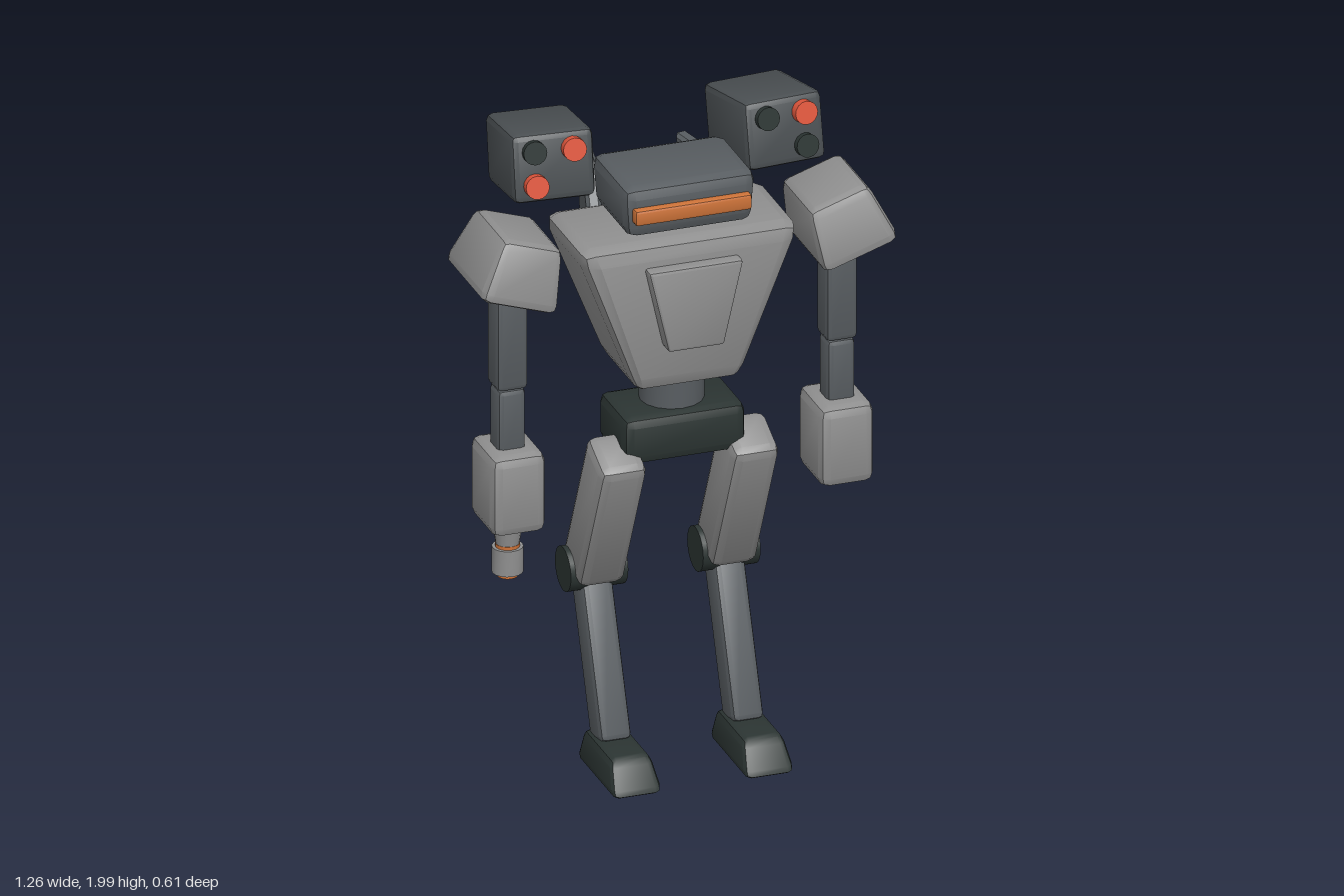
import * as THREE from 'three';
import { RoundedBoxGeometry } from 'three/addons/geometries/RoundedBoxGeometry.js';
import { toCreasedNormals } from 'three/addons/utils/BufferGeometryUtils.js';

const paint = (name, color) => {
  const m = new THREE.MeshStandardMaterial({ color });
  m.name = name;
  return m;
};

export function createModel() {
  const armour = paint('armour grey', 0x8f8f8f);
  const slate = paint('slate', 0x585d61);
  const gunmetal = paint('gunmetal', 0x4b5053);
  const dark = paint('dark joint', 0x2b3432);
  const orange = paint('visor orange', 0xcc7238);
  const red = paint('warhead red', 0xe0563c);

  const model = new THREE.Group();
  model.name = 'robot';

  const add = (parent, name, geometry, material, x, y, z, rx = 0, ry = 0, rz = 0) => {
    const mesh = new THREE.Mesh(toCreasedNormals(geometry, 0.5), material);
    mesh.name = name;
    mesh.position.set(x, y, z);
    mesh.rotation.set(rx, ry, rz, 'YXZ');
    parent.add(mesh);
    return mesh;
  };

  // Bevelled box whose width and depth change linearly from bottom to top
  const block = (w, h, d, bevel, top = [1, 1], bottom = [1, 1], topShift = 0) => {
    const g = new RoundedBoxGeometry(w, h, d, 1, bevel);
    const p = g.attributes.position;
    for (let i = 0; i < p.count; i++) {
      const t = p.getY(i) / h + 0.5;
      p.setX(i, p.getX(i) * THREE.MathUtils.lerp(bottom[0], top[0], t));
      p.setZ(i, p.getZ(i) * THREE.MathUtils.lerp(bottom[1], top[1], t) + topShift * t);
    }
    return g;
  };
  const cylinder = (rTop, rBottom, h, sides = 16) => new THREE.CylinderGeometry(rTop, rBottom, h, sides);

  // Body
  add(model, 'torso', block(0.69, 0.48, 0.36, 0.05, [1, 1], [0.45, 0.86]), armour, 0, 1.45, 0.02);
  add(model, 'chestPlate', block(0.29, 0.26, 0.07, 0.01, [1, 1], [0.58, 1]), armour, 0, 1.49, 0.2);
  add(model, 'waist', cylinder(0.095, 0.095, 0.16), slate, 0, 1.17, 0.02);
  add(model, 'pelvis', block(0.375, 0.15, 0.235, 0.03), dark, 0, 1.045, 0.027);

  // Head
  add(model, 'neck', cylinder(0.07, 0.07, 0.08), slate, 0, 1.7, 0.03);
  add(model, 'head', block(0.41, 0.16, 0.3, 0.035, [1, 1], [0.94, 0.97]), slate, 0, 1.79, 0.04);
  add(model, 'visor', block(0.355, 0.048, 0.04, 0.008), orange, 0, 1.788, 0.193);

  // Back fin outline as (z, y), extruded sideways
  const finShape = new THREE.Shape([
    [0.1, -0.2], [0.09, 0.07], [0, 0.185], [-0.082, 0.185], [0.002, -0.18], [0.015, -0.19], [0.08, -0.18],
  ].slice(1).map(([u, v]) => new THREE.Vector2(u, v)).reverse());
  const finGeometry = () => {
    const g = new THREE.ExtrudeGeometry(finShape, {
      depth: 0.025, bevelEnabled: true, bevelSize: 0.01, bevelThickness: 0.01, bevelSegments: 1,
    });
    return g.translate(0, 0, -0.0125).rotateY(-Math.PI / 2);
  };

  for (const s of [1, -1]) {
    const side = s > 0 ? 'left' : 'right';

    add(model, side + 'BackFin', finGeometry(), slate, s * 0.165, 1.595, -0.215, 0, s * 0.19, 0);

    // Launcher pod with three tubes on its raised front
    const pod = new THREE.Group();
    pod.name = side + 'LauncherPod';
    pod.position.set(s * 0.342, 1.868, -0.14);
    pod.rotation.set(-0.18, s * 0.08, 0, 'YXZ');
    model.add(pod);
    add(pod, 'podBody', block(0.245, 0.205, 0.3, 0.02), gunmetal, 0, 0, 0);
    const tubes = s > 0
      ? [[-1, 1, dark], [1, 1, red], [1, -1, dark]]
      : [[-1, 1, dark], [1, 1, red], [-1, -1, red]];
    for (const [u, v, colour] of tubes) {
      add(pod, 'launchTube', cylinder(0.035, 0.035, 0.04), colour,
        u * 0.058, v * 0.05, colour === red ? 0.158 : 0.15, Math.PI / 2);
    }

    // Arm
    add(model, side + 'Shoulder', block(0.25, 0.19, 0.345, 0.03, [0.76, 0.74]), armour,
      s * 0.495, 1.635, 0.025, 0, 0, s * 0.32);
    add(model, side + 'UpperArm', block(0.096, 0.36, 0.096, 0.016), slate, s * 0.503, 1.415, 0.027);
    add(model, side + 'Forearm', block(0.085, 0.24, 0.085, 0.016), slate, s * 0.503, 1.117, 0.027);
    add(model, side + 'Fist', block(0.167, 0.252, 0.21, 0.03), armour, s * 0.501, 0.925, 0.027);

    // Leg
    add(model, side + 'Thigh', block(0.145, 0.5, 0.164, 0.03), armour, s * 0.202, 0.79, 0.02, 0.43);
    add(model, side + 'Knee', cylinder(0.068, 0.068, 0.175, 20), dark, s * 0.202, 0.565, -0.095, 0, 0, Math.PI / 2);
    add(model, side + 'Shin', block(0.096, 0.52, 0.11, 0.018), slate, s * 0.202, 0.325, -0.02, -0.36);
    add(model, side + 'Foot', block(0.155, 0.1, 0.33, 0.022, [0.78, 0.7], [1, 1], -0.025), dark,
      s * 0.202, 0.05, 0.145);
  }

  // Gun below the right fist
  const gun = new THREE.Group();
  gun.name = 'handGun';
  gun.position.set(-0.503, 0, 0.027);
  model.add(gun);
  add(gun, 'gunMount', cylinder(0.045, 0.033, 0.08), armour, 0, 0.765, 0);
  add(gun, 'gunRing', cylinder(0.036, 0.036, 0.012), orange, 0, 0.731, 0);
  add(gun, 'gunBarrel', cylinder(0.046, 0.046, 0.08), armour, 0, 0.687, 0);
  add(gun, 'gunMuzzle', cylinder(0.03, 0.03, 0.03), orange, 0, 0.648, 0);

  return model;
}
